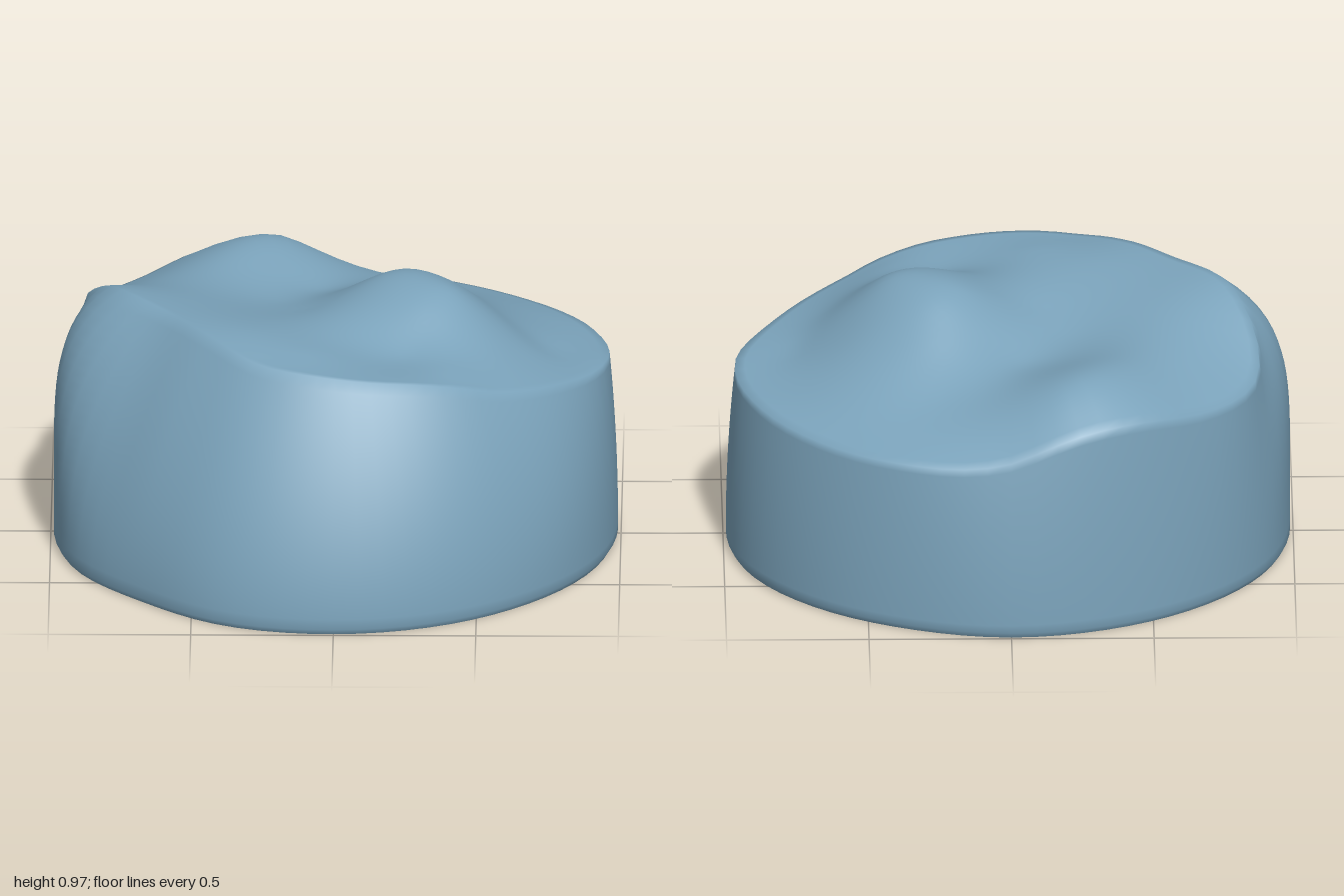
import * as THREE from 'three';
import { mergeVertices } from 'three/addons/utils/BufferGeometryUtils.js';

const SEG = 72;

// Every 22.5 degrees from +x towards +z: base radius, rim radius, rim height, wall curve power
const RIM = [
  [0.99, 0.955, 0.66, 2], [0.985, 0.86, 0.69, 2.5], [0.98, 0.79, 0.745, 2], [0.99, 0.74, 0.82, 1.8],
  [1.0, 0.71, 0.85, 1.7], [1.0, 0.68, 0.87, 1.7], [0.97, 0.63, 0.915, 1.8], [0.995, 0.65, 0.93, 2.2],
  [0.99, 0.785, 0.925, 6], [0.99, 0.945, 0.74, 2], [0.985, 0.94, 0.71, 2], [0.99, 0.95, 0.745, 2],
  [1.0, 0.94, 0.635, 2], [0.985, 0.95, 0.61, 2], [0.99, 0.95, 0.615, 2], [1.0, 0.96, 0.635, 2],
];

// Hills and hollows of the top: x, z, height
const TOP = [
  [0.16, -0.06, 0.945], [0.3, 0.07, 0.96], [0.12, 0.1, 0.92], [0.25, -0.15, 0.935],
  [0.42, 0.08, 0.94], [0.3, 0.2, 0.92], [0.25, 0.4, 0.82], [0.42, 0.5, 0.805],
  [0.05, 0.4, 0.85], [0.48, 0.3, 0.825], [-0.1, 0.5, 0.875], [-0.3, 0.35, 0.895],
  [-0.5, 0.1, 0.895], [-0.3, 0, 0.84], [-0.1, 0, 0.84], [-0.2, -0.17, 0.80],
  [-0.05, -0.35, 0.775], [0.1, -0.27, 0.835], [0.25, -0.3, 0.85], [-0.38, -0.53, 0.845],
  [-0.3, -0.67, 0.85], [-0.2, -0.74, 0.83], [-0.1, -0.58, 0.805], [0.03, -0.75, 0.725],
  [0.25, -0.55, 0.72], [0.52, -0.52, 0.69], [0.42, -0.25, 0.83], [0.6, -0.1, 0.77],
  [0.6, 0.06, 0.80], [0.74, 0, 0.69], [0.76, -0.3, 0.665], [0.64, 0.2, 0.755],
  [-0.65, -0.12, 0.88], [-0.63, -0.37, 0.81],
];

// Smooth periodic lookup in one column of the rim table
function rimValue(angle, column) {
  const n = RIM.length;
  const u = (angle / (Math.PI * 2)) * n;
  const i = Math.floor(u), f = u - i;
  const p = (k) => RIM[(i + k + n) % n][column];
  const [a, b, c, d] = [p(-1), p(0), p(1), p(2)];
  return b + 0.5 * f * (c - a + f * (2 * a - 5 * b + 4 * c - d + f * (3 * (b - c) + d - a)));
}

// Thin-plate surface through the given points
function makeSurface(points) {
  const n = points.length, size = n + 3;
  const kernel = (x, z, p) => {
    const r2 = (x - p[0]) ** 2 + (z - p[1]) ** 2;
    return r2 < 1e-12 ? 0 : r2 * Math.log(r2);
  };
  const basis = (x, z) => [...points.map((p) => kernel(x, z, p)), 1, x, z];
  const m = points.map((p) => [...basis(p[0], p[1]), p[2]]);
  for (let i = 0; i < n; i++) m[i][i] += 0.002;
  m.push([...points.map(() => 1), 0, 0, 0, 0]);
  m.push([...points.map((p) => p[0]), 0, 0, 0, 0]);
  m.push([...points.map((p) => p[1]), 0, 0, 0, 0]);
  for (let c = 0; c < size; c++) {
    let best = c;
    for (let r = c + 1; r < size; r++) if (Math.abs(m[r][c]) > Math.abs(m[best][c])) best = r;
    [m[c], m[best]] = [m[best], m[c]];
    for (let r = 0; r < size; r++) {
      if (r === c) continue;
      const k = m[r][c] / m[c][c];
      for (let j = c; j <= size; j++) m[r][j] -= k * m[c][j];
    }
  }
  const weights = m.map((row, i) => row[size] / row[i]);
  return (x, z) => basis(x, z).reduce((sum, b, i) => sum + b * weights[i], 0);
}

// Skin closed rings; each ring is a function from angle to [radius, y]
function loft(rings) {
  const positions = [], index = [];
  rings.forEach((ring, i) => {
    for (let j = 0; j < SEG; j++) {
      const angle = (j / SEG) * Math.PI * 2;
      const [r, y] = ring(angle);
      positions.push(r * Math.cos(angle), y, r * Math.sin(angle));
      if (i === 0) continue;
      const k = (j + 1) % SEG;
      const a = (i - 1) * SEG + j, b = (i - 1) * SEG + k;
      const d = i * SEG + j, c = i * SEG + k;
      index.push(a, d, b, b, d, c);
    }
  });
  const geometry = new THREE.BufferGeometry();
  geometry.setAttribute('position', new THREE.Float32BufferAttribute(positions, 3));
  geometry.setIndex(index);
  const merged = mergeVertices(geometry, 1e-5);
  merged.computeVertexNormals();
  return merged;
}

export function createModel() {
  const group = new THREE.Group();
  group.name = 'stump';
  const blue = new THREE.MeshStandardMaterial({ color: 0x7ba3bb });
  blue.name = 'dusty blue';

  const rimPoints = RIM.map(([, r, h], i) => {
    const a = (i / RIM.length) * Math.PI * 2;
    return [r * Math.cos(a), r * Math.sin(a), h];
  });
  const surface = makeSurface([...TOP, ...rimPoints]);
  const height = (r, a) => surface(r * Math.cos(a), r * Math.sin(a));

  // Body: small lower bevel, curved wall, then the wavy top
  const rings = [(a) => [rimValue(a, 0) - 0.012, 0]];
  const wallSteps = 22, topSteps = 28;
  for (let i = 0; i <= wallSteps; i++) {
    const t = i / wallSteps;
    rings.push((a) => {
      const base = rimValue(a, 0), rim = rimValue(a, 1);
      const y = 0.02 + (height(rim, a) - 0.02) * t;
      return [base + (rim - base) * t ** rimValue(a, 3), y];
    });
  }
  for (let i = 1; i <= topSteps; i++) {
    const s = 1 - i / topSteps;
    rings.push((a) => {
      const r = rimValue(a, 1) * s;
      return [r, height(r, a)];
    });
  }
  const body = new THREE.Mesh(loft(rings), blue);
  body.name = 'body';

  // Flat underside
  const underside = new THREE.Mesh(loft([() => [0, 0], (a) => [rimValue(a, 0) - 0.012, 0]]), blue);
  underside.name = 'underside';

  group.add(body, underside);
  return group;
}
